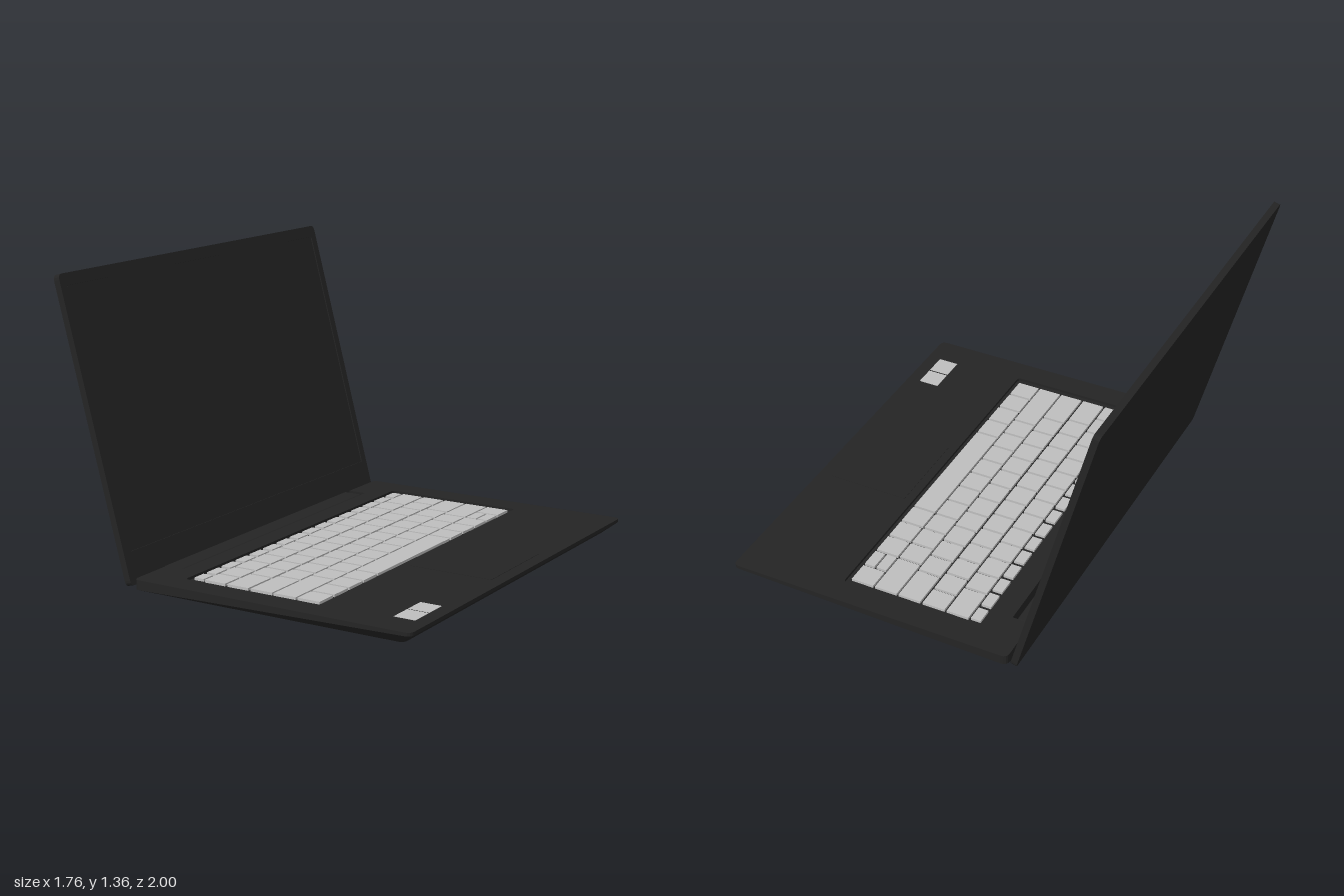
import * as THREE from 'three';
import { RoundedBoxGeometry } from 'three/addons/geometries/RoundedBoxGeometry.js';

const shell = new THREE.MeshStandardMaterial({ color: 0x242424 });
shell.name = 'charcoal shell';
const keyGrey = new THREE.MeshStandardMaterial({ color: 0xbebebe });
keyGrey.name = 'light grey';

function add(parent, name, geometry, material) {
  const mesh = new THREE.Mesh(geometry, material);
  mesh.name = name;
  parent.add(mesh);
  return mesh;
}

// Box given by its limits on each axis
function block(parent, name, x0, x1, y0, y1, z0, z1, material) {
  const mesh = add(parent, name, new THREE.BoxGeometry(x1 - x0, y1 - y0, z1 - z0), material);
  mesh.position.set((x0 + x1) / 2, (y0 + y1) / 2, (z0 + z1) / 2);
  return mesh;
}

// Rounded rectangle, drawn on a Shape or a Path
function roundRect(path, x0, x1, y0, y1, r) {
  path.moveTo(x0 + r, y0).lineTo(x1 - r, y0).quadraticCurveTo(x1, y0, x1, y0 + r);
  path.lineTo(x1, y1 - r).quadraticCurveTo(x1, y1, x1 - r, y1);
  path.lineTo(x0 + r, y1).quadraticCurveTo(x0, y1, x0, y1 - r);
  path.lineTo(x0, y0 + r).quadraticCurveTo(x0, y0, x0 + r, y0);
  return path;
}

function extrude(shape, depth, steps = 1) {
  return new THREE.ExtrudeGeometry(shape, { depth, steps, bevelEnabled: false, curveSegments: 4 });
}

// Plan of the base with a notch at the back for the hinge
function basePlan() {
  const s = new THREE.Shape(), b = -0.49, f = 0.88, r = 0.03, n = 0.76;
  s.moveTo(b + r, -1).lineTo(f - r, -1).quadraticCurveTo(f, -1, f, -1 + r);
  s.lineTo(f, 1 - r).quadraticCurveTo(f, 1, f - r, 1);
  s.lineTo(b + r, 1).quadraticCurveTo(b, 1, b, 1 - r);
  s.lineTo(b, n).lineTo(-0.4, n).lineTo(-0.4, -n).lineTo(b, -n);
  s.lineTo(b, -1 + r).quadraticCurveTo(b, -1, b + r, -1);
  return s;
}

function buildBase() {
  const base = new THREE.Group();
  base.name = 'base';

  // Top deck with the keyboard opening
  const plan = basePlan();
  plan.holes.push(roundRect(new THREE.Path(), -0.305, 0.378, -0.88, 0.88, 0.02));
  const deck = extrude(plan, 0.013);
  deck.rotateX(-Math.PI / 2).translate(0, 0.052, 0);
  add(base, 'deck', deck, shell);

  // Underside: side wall thins towards the front, then slopes in to the bottom
  const under = extrude(basePlan(), 2, 2);
  under.rotateX(-Math.PI / 2);
  const p = under.attributes.position;
  for (let i = 0; i < p.count; i++) {
    const ring = Math.round(p.getY(i)), x = p.getX(i), z = p.getZ(i);
    if (ring === 2) p.setY(i, 0.052);
    else if (ring === 1) p.setY(i, 0.02 + 0.03 * (x + 0.49) / 1.37);
    else {
      p.setY(i, 0.002);
      if (x > 0.8) p.setX(i, x - 0.06);
      if (Math.abs(z) > 0.9) p.setZ(i, z * 0.95);
    }
  }
  under.computeVertexNormals();
  add(base, 'underside', under, shell);

  // Touchpad and the two palm rest labels
  block(base, 'touchpad', 0.42, 0.82, 0.064, 0.0665, -0.245, 0.205, shell);
  block(base, 'label', 0.714, 0.815, 0.064, 0.0665, 0.632, 0.734, keyGrey);
  block(base, 'label', 0.714, 0.815, 0.064, 0.0665, 0.742, 0.85, keyGrey);

  // Curved pale patch under the base
  const patch = new THREE.Shape();
  patch.moveTo(-0.035, -0.42).quadraticCurveTo(0.1, -0.3, 0.07, -0.08);
  patch.quadraticCurveTo(0.04, 0.12, -0.06, 0.3).lineTo(-0.035, -0.42);
  add(base, 'undersidePatch', extrude(patch, 0.003).rotateX(-Math.PI / 2), keyGrey);
  return base;
}

function buildKeyboard() {
  const keyboard = new THREE.Group();
  keyboard.name = 'keyboard';
  const z0 = -0.855, z1 = 0.85, gap = 0.013;
  const key = (x0, x1, a, b, g = gap) =>
    block(keyboard, 'key', x0, x1, 0.05, 0.064, a + g / 2, b - g / 2, keyGrey);

  // Each row: back and front edge, first seam, seam spacing, number of keys
  const pitch = 0.1175;
  const rows = [
    [-0.286, -0.238, -0.755, 0.1083, 16, 0.024],
    [-0.228, -0.122, -0.675, pitch, 14],
    [-0.111, -0.003, -0.743, pitch, 14],
    [0.009, 0.118, -0.664, pitch, 13],
    [0.127, 0.237, -0.627, pitch, 12],
  ];
  for (const [x0, x1, first, step, count, g] of rows) {
    for (let i = 0; i < count; i++) {
      const a = i === 0 ? z0 : first + step * (i - 1);
      const b = i === count - 1 ? z1 : first + step * i;
      key(x0, x1, a, b, g);
    }
  }

  // Front row with the space bar and split arrow keys
  const seams = [-0.627, -0.51, -0.392, -0.273, 0.378, 0.496, 0.615, 0.734, z1];
  for (let i = 0; i < seams.length - 1; i++) key(0.246, 0.355, seams[i], seams[i + 1]);
  key(0.246, 0.355, z0, -0.738);
  key(0.246, 0.296, -0.738, -0.627);
  key(0.305, 0.355, -0.738, -0.627);
  return keyboard;
}

function buildLid() {
  const lid = new THREE.Group();
  lid.name = 'lid';
  const height = 1.371;
  const outline = () => roundRect(new THREE.Shape(), -1, 1, 0, height, 0.025);
  const panel = (name, shape, depth, x) =>
    add(lid, name, extrude(shape, depth).rotateY(Math.PI / 2).translate(x, 0, 0), shell);

  // Back cover, bezel frame and the slightly sunken screen
  panel('lidCover', outline(), 0.024, -0.015);
  const frame = outline();
  frame.holes.push(roundRect(new THREE.Path(), -0.96, 0.96, 0.143, 1.317, 0.005));
  panel('bezel', frame, 0.006, 0.009);
  panel('screen', roundRect(new THREE.Shape(), -0.957, 0.957, 0.146, 1.314, 0.005), 0.003, 0.009);

  lid.position.set(-0.518, 0.027, 0);
  lid.rotation.z = 0.26;
  return lid;
}

export function createModel() {
  const model = new THREE.Group();
  model.name = 'laptop';
  model.add(buildBase(), buildKeyboard(), buildLid());

  // Hinge bar in the notch
  const hinge = add(model, 'hinge', new RoundedBoxGeometry(0.1, 0.036, 1.515, 2, 0.01), shell);
  hinge.position.set(-0.467, 0.04, 0);
  return model;
}
